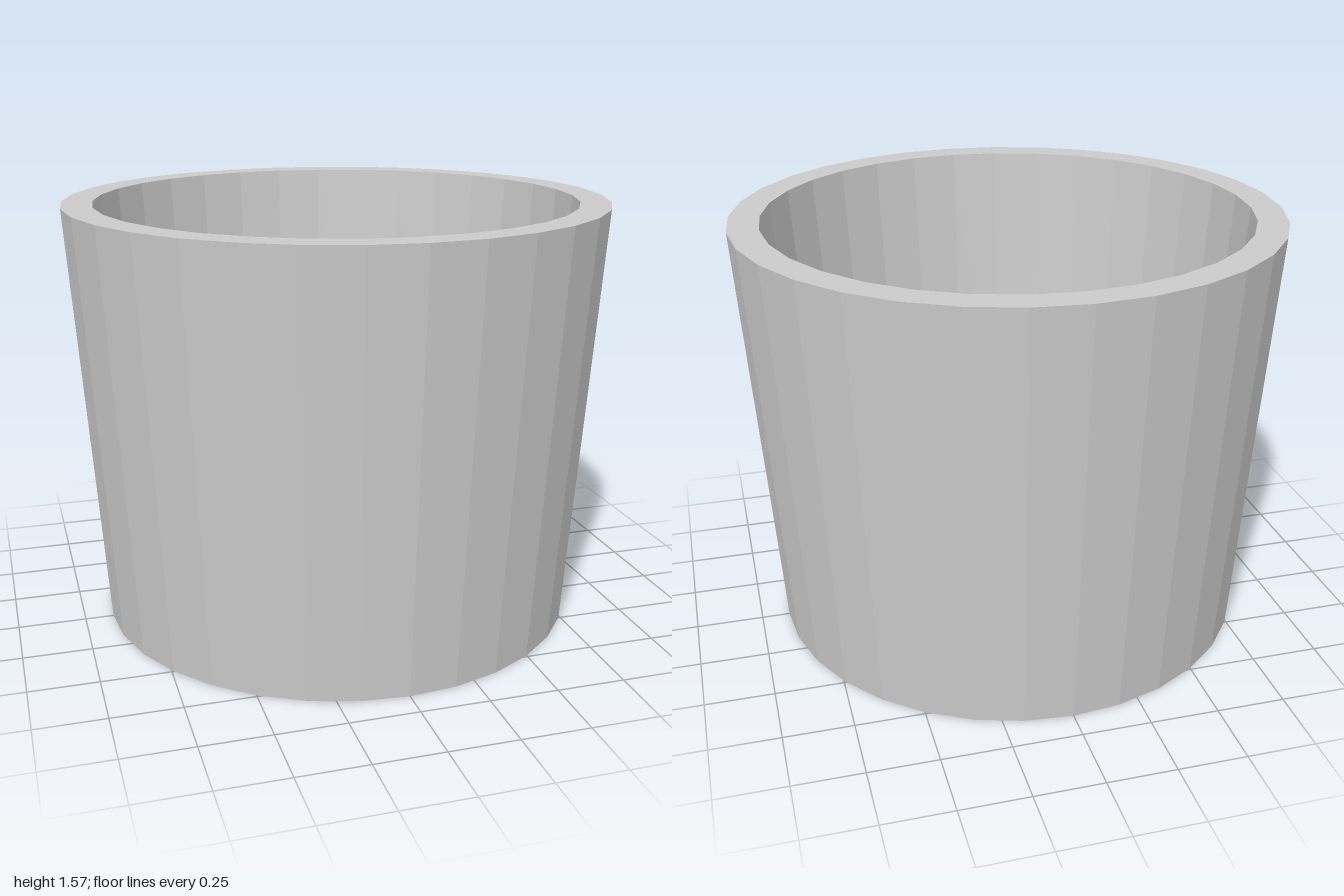
import * as THREE from 'three';

const SIDES = 32;
const HEIGHT = 1.57;
const FLOOR = 0.17;

export function createModel() {
  const group = new THREE.Group();
  group.name = 'taperedPot';
  const material = new THREE.MeshStandardMaterial({ color: 0xcccccc, flatShading: true });

  // Revolve a [radius, height] profile into one faceted part
  const addPart = (name, profile) => {
    const points = profile.map(([r, y]) => new THREE.Vector2(r, y));
    const mesh = new THREE.Mesh(new THREE.LatheGeometry(points, SIDES), material);
    mesh.name = name;
    group.add(mesh);
  };

  // Underside, outer wall, flat rim, inner wall and raised floor
  addPart('base', [[0, 0], [0.895, 0]]);
  addPart('outerWall', [[0.895, 0], [1, HEIGHT]]);
  addPart('rim', [[1, HEIGHT], [0.888, HEIGHT]]);
  addPart('innerWall', [[0.888, HEIGHT], [0.794, FLOOR]]);
  addPart('floor', [[0.794, FLOOR], [0, FLOOR]]);

  return group;
}
